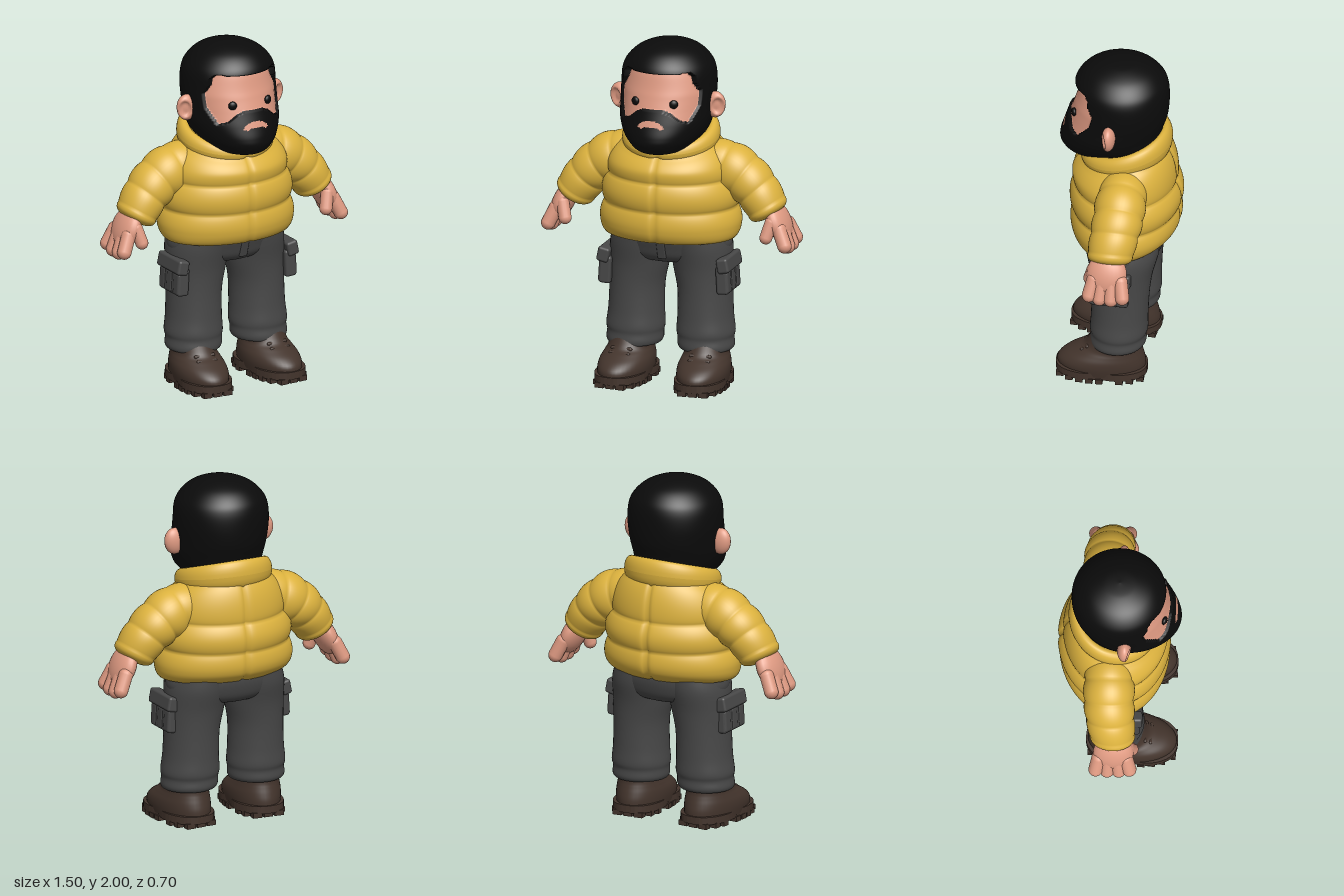
import * as THREE from 'three';
import { mergeVertices, mergeGeometries } from 'three/addons/utils/BufferGeometryUtils.js';
import { RoundedBoxGeometry } from 'three/addons/geometries/RoundedBoxGeometry.js';

const paint = (name, color) => Object.assign(new THREE.MeshStandardMaterial({ color }), { name });
const V = (x, y, z) => new THREE.Vector3(x, y, z);
const ramp = THREE.MathUtils.smoothstep;
const bump = (v, width) => Math.exp(-Math.pow(v / width, 2));

// Closed-around surface: fn(angle, t) gives a point, t runs from one end to the other
function surface(fn, nu, nv) {
  const pos = [], idx = [];
  for (let j = 0; j <= nv; j++)
    for (let i = 0; i < nu; i++) pos.push(...fn((i / nu) * Math.PI * 2, j / nv).toArray());
  for (let j = 0; j < nv; j++)
    for (let i = 0; i < nu; i++) {
      const a = j * nu + i, b = j * nu + ((i + 1) % nu);
      idx.push(a, b, b + nu, a, b + nu, a + nu);
    }
  const g = new THREE.BufferGeometry();
  g.setAttribute('position', new THREE.Float32BufferAttribute(pos, 3));
  g.setIndex(idx);
  g.computeVertexNormals();
  return g;
}

// Catmull-Rom blend through rows of numbers
function spline(rows, t) {
  const f = t * (rows.length - 1), k = Math.min(Math.floor(f), rows.length - 2), s = f - k;
  const r = (i) => rows[Math.max(0, Math.min(rows.length - 1, i))];
  return rows[0].map((_, c) => {
    const [p, q, m, n] = [r(k - 1)[c], r(k)[c], r(k + 1)[c], r(k + 2)[c]];
    return q + 0.5 * s * (m - p + s * (2 * p - 5 * q + 4 * m - n + s * (3 * (q - m) + n - p)));
  });
}

// Upright loft from rows of [y, centre x, centre z, half width, half depth]
const loftPoint = (rows, a, t, scale = 1) => {
  const [y, cx, cz, rx, rz] = spline(rows, t);
  return V(cx + Math.max(0, rx) * scale * Math.sin(a), y, cz + Math.max(0, rz) * scale * Math.cos(a));
};
const loft = (rows, nu, nv) => surface((a, t) => loftPoint(rows, a, t), nu, nv);

// Rounded rod between two points
function rod(a, b, r) {
  const d = b.clone().sub(a), g = new THREE.CapsuleGeometry(r, d.length(), 8, 16);
  g.applyQuaternion(new THREE.Quaternion().setFromUnitVectors(V(0, 1, 0), d.normalize()));
  return g.translate(...a.clone().add(b).multiplyScalar(0.5).toArray());
}

function inside(poly, x, y) {
  let hit = false;
  poly.forEach(([ax, ay], i) => {
    const [bx, by] = poly[(i + 1) % poly.length];
    if (ay > y !== by > y && x < ((bx - ax) * (y - ay)) / (by - ay) + ax) hit = !hit;
  });
  return hit;
}

const quilt = (s, depth) => 1 - depth * (1 - Math.pow(Math.abs(Math.sin(Math.PI * s)), 0.6));

export function createModel() {
  const model = new THREE.Group();
  const hair = paint('black hair', 0x0b0b0b), skin = paint('skin', 0xdf9a82);
  const yellow = paint('yellow jacket', 0xdcb23e), grey = paint('grey trousers', 0x484848);
  const brown = paint('brown boots', 0x43342c);
  const add = (name, geo, mat) => {
    const m = new THREE.Mesh(geo, mat);
    m.name = name;
    model.add(m);
  };
  // Adds a part on the left and its mirror image on the right
  const addPair = (name, geo, mat) => {
    if (!geo.index) geo = mergeVertices(geo);
    add('left ' + name, geo, mat);
    const g = geo.clone().scale(-1, 1, 1), ix = g.index.array;
    for (let i = 0; i < ix.length; i += 3) [ix[i], ix[i + 2]] = [ix[i + 2], ix[i]];
    const n = g.attributes.normal, n0 = geo.attributes.normal;
    for (let i = 0; i < n.count; i++) n.setXYZ(i, -n0.getX(i), n0.getY(i), n0.getZ(i));
    add('right ' + name, g, mat);
  };

  // Head: hair and beard shell with a recessed face and a mouth
  const headRows = [[1.38, 0, 0.2, 0, 0], [1.4, 0, 0.17, 0.12, 0.13], [1.45, 0, 0.1, 0.195, 0.245],
    [1.5, 0, 0.06, 0.237, 0.287], [1.57, 0, 0.045, 0.262, 0.282], [1.65, 0, 0.02, 0.268, 0.282],
    [1.75, 0, 0, 0.272, 0.272], [1.84, 0, 0, 0.264, 0.267], [1.9, 0, 0, 0.235, 0.243],
    [1.955, 0, 0, 0.175, 0.185], [1.99, 0, 0, 0.09, 0.095], [2, 0, 0, 0, 0]];
  const face = [[-0.01, 1.858], [0.1, 1.856], [0.185, 1.864], [0.21, 1.84], [0.22, 1.79], [0.24, 1.75],
    [0.238, 1.68], [0.215, 1.62], [0.2, 1.585], [0.15, 1.6], [0.1, 1.64], [0.05, 1.658], [-0.01, 1.652]];
  const mouth = [[-0.01, 1.602], [0.04, 1.6], [0.075, 1.58], [0.085, 1.56], [0.06, 1.55], [0.03, 1.562], [-0.01, 1.558]];
  const isSkin = [];
  const head = surface((a, t) => {
    const p = loftPoint(headRows, a, t), x = Math.abs(p.x), front = p.z > 0.05;
    const onFace = front && inside(face, x, p.y);
    isSkin.push(onFace || (front && inside(mouth, x, p.y)));
    return onFace ? loftPoint(headRows, a, t, 0.95 - 0.1 * ramp(p.y, 1.72, 1.87)) : p;
  }, 180, 140);
  const parts = [[], []], hi = head.index.array;
  for (let i = 0; i < hi.length; i += 3) {
    const tri = [hi[i], hi[i + 1], hi[i + 2]];
    parts[tri.every((k) => isSkin[k]) ? 1 : 0].push(...tri);
  }
  head.setIndex(parts.flat());
  head.addGroup(0, parts[0].length, 0);
  head.addGroup(parts[0].length, parts[1].length, 1);
  add('head with hair, beard and face', head, [hair, skin]);
  addPair('eye', new THREE.SphereGeometry(0.025, 20, 14).scale(1, 1, 0.6).rotateY(0.4).translate(0.115, 1.692, 0.253), hair);

  // Ears with a hollow facing outwards and forwards
  const ear = new THREE.SphereGeometry(1, 32, 24), ep = ear.attributes.position, look = V(0.55, 0, 0.83);
  for (let i = 0; i < ep.count; i++) {
    const p = V().fromBufferAttribute(ep, i);
    p.addScaledVector(look, -0.55 * ramp(p.dot(look), 0.72, 0.95));
    ep.setXYZ(i, p.x, p.y, p.z);
  }
  ear.scale(0.062, 0.077, 0.04).rotateZ(-0.12).translate(0.282, 1.648, 0.025).computeVertexNormals();
  addPair('ear', ear, skin);

  // Quilted jacket body with a front zip groove and a back seam
  const bodyRows = [[0.9, 0, -0.02, 0, 0], [0.87, 0, -0.01, 0.34, 0.23], [0.865, 0, -0.01, 0.385, 0.26],
    [0.92, 0, -0.025, 0.41, 0.305], [1.02, 0, -0.03, 0.41, 0.318], [1.12, 0, -0.03, 0.4, 0.32],
    [1.22, 0, -0.025, 0.38, 0.308], [1.31, 0, -0.02, 0.35, 0.292], [1.38, 0, -0.02, 0.31, 0.265],
    [1.43, 0, -0.03, 0.25, 0.225], [1.45, 0, -0.03, 0, 0]];
  add('jacket body', surface((a, t) => {
    const y = spline(bodyRows, t)[0];
    const s = y < 1.04 ? Math.max(0.4, (y - 0.86) / 0.18) : y < 1.21 ? (y - 1.04) / 0.17 : Math.min(0.999, (y - 1.21) / 0.19);
    const seam = bump(Math.sin(a), 0.035) * (Math.cos(a) > 0 ? 0.04 : 0.06);
    const p = loftPoint(bodyRows, a, t, quilt(s, 0.07) * (1 - seam));
    p.y -= 0.2 * p.z * ramp(y, 1.22, 1.42);
    return p;
  }, 128, 90), yellow);

  // Standing collar, higher at the back, notched at the zip
  add('collar', surface((a, t) => {
    const b = t * Math.PI * 2, c = Math.cos(a), z = -0.03 + 0.22 * c;
    const notch = 1 - 0.35 * bump(a > Math.PI ? a - 2 * Math.PI : a, 0.06);
    const r = 0.04 * Math.cos(b) * notch;
    return V((0.24 + r) * Math.sin(a), 1.425 - 0.25 * z + (0.065 - 0.018 * c) * notch * Math.sin(b), z + r * c);
  }, 96, 24), yellow);

  // Quilted sleeves: rows of [x, y, z, radius, depth radius]
  const armRows = [[0.2, 1.29, -0.06, 0.13, 0.13], [0.33, 1.265, -0.06, 0.15, 0.145], [0.44, 1.205, -0.06, 0.14, 0.145],
    [0.525, 1.12, -0.05, 0.128, 0.138], [0.6, 1.005, -0.035, 0.112, 0.122]];
  addPair('sleeve', surface((a, t) => {
    const [x, y, z, r, rz] = spline(armRows, t);
    const p = spline(armRows, Math.max(0, t - 0.01)), q = spline(armRows, Math.min(1, t + 0.01));
    const dir = V(q[0] - p[0], q[1] - p[1], 0).normalize();
    const end = Math.sqrt(1 - Math.pow(Math.max(0, (t - 0.9) / 0.1), 2));
    const k = (t > 0.88 ? 1 : quilt(t * 4.4, 0.08)) * (t === 1 ? 0 : end);
    return V(x - dir.y * r * k * Math.cos(a), y + dir.x * r * k * Math.cos(a), z + rz * k * Math.sin(a));
  }, 44, 70), yellow);

  // Hands
  const hand = [new THREE.SphereGeometry(1, 28, 20).scale(0.06, 0.125, 0.115).rotateZ(0.4).translate(0.645, 0.975, -0.035)];
  [-0.135, -0.07, -0.005, 0.055].forEach((z, i) =>
    hand.push(rod(V(0.668, 0.95, z * 0.8 - 0.01), V(0.708, [0.865, 0.846, 0.846, 0.862][i], z), 0.041)));
  hand.push(rod(V(0.625, 0.99, 0.045), V(0.602, 0.905, 0.07), 0.037));
  addPair('hand', mergeGeometries(hand), skin);

  // Trousers
  add('trouser hips', loft([[0.7, 0, -0.04, 0, 0], [0.715, 0, -0.04, 0.19, 0.14], [0.75, 0, -0.04, 0.32, 0.19],
    [0.81, 0, -0.04, 0.355, 0.215], [0.87, 0, -0.035, 0.35, 0.228], [0.92, 0, -0.03, 0.34, 0.22]], 64, 24), grey);
  addPair('trouser leg', loft([[0.22, 0.215, -0.015, 0.1, 0.1], [0.203, 0.215, -0.015, 0.145, 0.145],
    [0.225, 0.213, -0.02, 0.163, 0.16], [0.27, 0.21, -0.022, 0.162, 0.158], [0.31, 0.21, -0.025, 0.168, 0.165],
    [0.4, 0.207, -0.028, 0.16, 0.162], [0.55, 0.203, -0.032, 0.158, 0.165], [0.68, 0.19, -0.035, 0.17, 0.178],
    [0.8, 0.18, -0.038, 0.175, 0.205], [0.88, 0.17, -0.035, 0.165, 0.215]], 44, 45), grey);
  add('fly', new RoundedBoxGeometry(0.05, 0.13, 0.02, 2, 0.008).rotateX(0.3).translate(0.01, 0.81, 0.172), grey);

  // Cargo pockets with flap and pleats
  const box = (w, h, d, x, y, z, tilt) => new RoundedBoxGeometry(w, h, d, 3, 0.015).rotateZ(tilt).translate(x, y, z);
  addPair('cargo pocket', mergeGeometries([box(0.07, 0.16, 0.22, 0.35, 0.635, 0.005, 0.06),
    ...[-0.07, 0.005, 0.08].map((z) => box(0.06, 0.13, 0.066, 0.36, 0.625, z, 0.06))]), grey);
  addPair('pocket flap', box(0.07, 0.085, 0.245, 0.358, 0.725, 0.005, 0.2), grey);

  // Boots, toes turned slightly out
  const place = (g) => g.rotateY(0.07).translate(0.226, 0, 0);
  addPair('boot upper', place(loft([[0.04, 0, 0.07, 0.14, 0.25], [0.09, 0, 0.07, 0.147, 0.25], [0.13, 0, 0.055, 0.145, 0.227],
    [0.165, 0, 0.028, 0.134, 0.19], [0.195, 0, 0.005, 0.125, 0.16], [0.26, 0, -0.01, 0.12, 0.14]], 48, 24)), brown);
  const squarish = (v) => Math.sign(v) * Math.pow(Math.abs(v), 0.8);
  const outline = new THREE.Shape(Array.from({ length: 48 }, (_, i) => {
    const a = (i / 48) * Math.PI * 2, z = 0.26 * squarish(Math.sin(a));
    return new THREE.Vector2(0.15 * squarish(Math.cos(a)) * (1 - 0.1 * bump(z, 0.06)), z);
  }));
  const sole = new THREE.ExtrudeGeometry(outline, { depth: 0.044, bevelEnabled: false });
  addPair('boot sole', place(sole.rotateX(-Math.PI / 2).translate(0, 0.024, 0.07)), brown);
  const treads = [];
  for (let i = 0; i < 9; i++) {
    const z = -0.155 + i * 0.057, half = 0.148 * Math.sqrt(1 - Math.pow(Math.abs(z - 0.07) / 0.275, 2.6));
    if (i !== 3) for (const x of [-1, 0, 1])
      treads.push(new THREE.BoxGeometry(half * 0.58, 0.03, 0.042).translate(x * half * 0.7, 0.015, z));
  }
  addPair('boot treads', place(mergeGeometries(treads)), brown);
  const laces = [[0.147, 0.208], [0.17, 0.177], [0.192, 0.147]].map(([y, z]) =>
    rod(V(-0.055, y, z), V(0.055, y, z), 0.011));
  addPair('boot laces', place(mergeGeometries(laces)), brown);
  return model;
}
